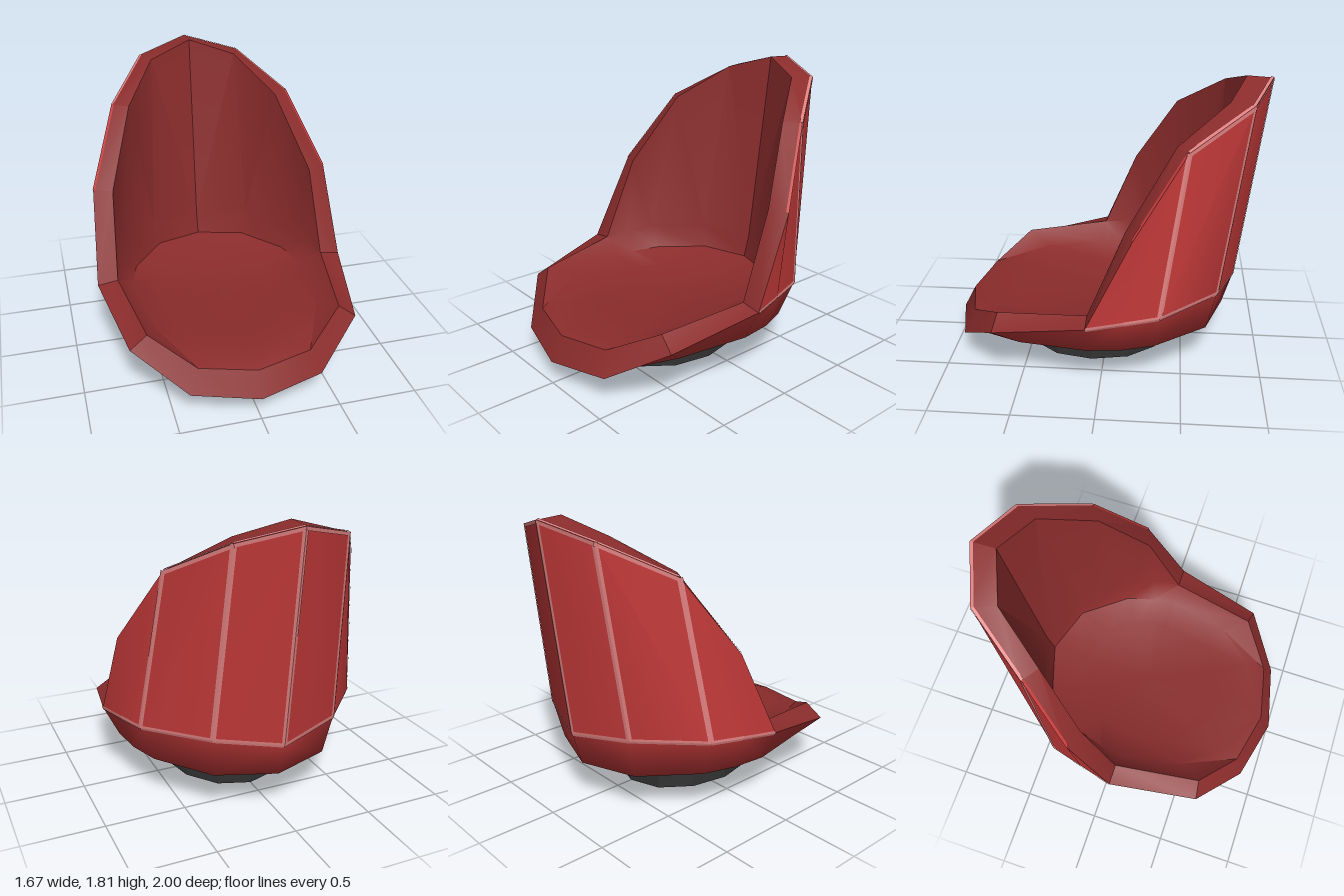
import * as THREE from 'three';
import { toCreasedNormals } from 'three/addons/utils/BufferGeometryUtils.js';

const shellRed = new THREE.MeshStandardMaterial({ color: 0xc53a3a });
const liningRed = new THREE.MeshStandardMaterial({ color: 0x8b2c2c });
const seamPink = new THREE.MeshStandardMaterial({ color: 0xde8080 });
const baseGrey = new THREE.MeshStandardMaterial({ color: 0x2f2f2f, side: THREE.DoubleSide });

// Half cross-sections, listed from the middle of the back round the left side to the front
const outerRim = [[0, 1.8, -1], [0.345, 1.715, -0.87], [0.6, 1.51, -0.5], [0.79, 1.05, -0.2],
  [0.83, 0.495, 0.07], [0.72, 0.38, 0.65], [0.41, 0.18, 0.9], [0, 0.147, 1]];
const innerRim = [[0, 1.81, -0.84], [0.29, 1.72, -0.73], [0.5, 1.51, -0.43], [0.67, 1.05, -0.15],
  [0.7, 0.515, 0.07], [0.61, 0.46, 0.63], [0.35, 0.322, 0.84], [0, 0.3, 0.92]];
const outerWaist = [[0, 0.48, -0.835], [0.4, 0.535, -0.71], [0.72, 0.525, -0.36], [0.775, 0.51, -0.15],
  ...outerRim.slice(4)];
const bowlSide = [[0, 0.26, -0.77], [0.37, 0.27, -0.65], [0.63, 0.28, -0.33], [0.7, 0.285, -0.14],
  [0.73, 0.29, 0.07], [0.62, 0.26, 0.5], [0.38, 0.172, 0.78], [0, 0.165, 0.85]];
const bowlBottom = [[0, 0.16, -0.4], [0.22, 0.16, -0.34], [0.37, 0.165, -0.16], [0.41, 0.165, -0.05],
  [0.42, 0.165, 0.07], [0.37, 0.165, 0.38], [0.22, 0.165, 0.52], [0, 0.165, 0.6]];
const innerWaist = [[0, 0.54, -0.68], [0.345, 0.57, -0.56], [0.59, 0.56, -0.27], [0.665, 0.53, -0.1],
  ...innerRim.slice(4)];
const seatEdge = [[0, 0.395, -0.64], [0.31, 0.4, -0.54], [0.53, 0.4, -0.26], [0.58, 0.4, -0.08],
  [0.6, 0.395, 0.07], [0.52, 0.38, 0.48], [0.32, 0.344, 0.74], [0, 0.34, 0.82]];
const seatFloor = bowlBottom.map(([x, , z]) => [x, 0.33, z]);
const point = (y) => outerRim.map(() => [0, y, 0.08]);

// Close a half section into a full ring
const ring = (half) => [...half, ...half.slice(1, -1).reverse().map(([x, y, z]) => [-x, y, z])];

// Skin a series of rings with mirrored diagonals, skipping collapsed faces.
// Without a crease angle the skin is fully smooth.
function loft(halves, crease) {
  const rows = halves.map(ring);
  const points = rows.flat();
  const n = rows[0].length;
  const index = [];
  const same = (a, b) => points[a].every((v, k) => v === points[b][k]);
  const tri = (a, b, c) => {
    if (!same(a, b) && !same(b, c) && !same(a, c)) index.push(a, b, c);
  };
  for (let r = 0; r < rows.length - 1; r++) {
    for (let i = 0; i < n; i++) {
      const a = r * n + i, b = r * n + (i + 1) % n;
      const c = b + n, d = a + n;
      if (i < n / 2) {
        tri(a, b, c);
        tri(a, c, d);
      } else {
        tri(a, b, d);
        tri(b, c, d);
      }
    }
  }
  const geo = new THREE.BufferGeometry();
  geo.setAttribute('position', new THREE.Float32BufferAttribute(points.flat(), 3));
  geo.setIndex(index);
  geo.computeVertexNormals();
  return crease ? toCreasedNormals(geo, crease) : geo;
}

// Flat ribbons, each lying just inside edge p-q of the triangle p, q, t, on both sides of the shell
function ribbons(edges) {
  const out = [];
  for (const side of [1, -1]) {
    for (const [p, q, t, width] of edges) {
      const [a, b, c] = (side > 0 ? [p, q, t] : [q, p, t])
        .map(([x, y, z]) => new THREE.Vector3(x * side, y, z));
      const along = b.clone().sub(a).normalize();
      const inward = c.sub(a);
      inward.addScaledVector(along, -inward.dot(along)).normalize();
      // Lift off the shell and reach slightly over the fold so neighbours meet
      const lift = along.clone().cross(inward).multiplyScalar(0.004).addScaledVector(inward, -0.0014);
      a.add(lift);
      b.add(lift);
      const a2 = a.clone().addScaledVector(inward, width);
      const b2 = b.clone().addScaledVector(inward, width);
      [a, b, b2, a, b2, a2].forEach((v) => out.push(v.x, v.y, v.z));
    }
  }
  const geo = new THREE.BufferGeometry();
  geo.setAttribute('position', new THREE.Float32BufferAttribute(out, 3));
  geo.computeVertexNormals();
  return geo;
}

// Edges of the back panels that carry a seam
function seamEdges() {
  const edges = [];
  for (let i = 0; i < 4; i++) {
    const [a, b, c, d] = [outerRim[i], outerRim[i + 1], outerWaist[i + 1], outerWaist[i]];
    edges.push([c, d, a, 0.016], [d, c, bowlSide[i + 1], 0.016]);
    if (i < 3) edges.push([d, a, c, 0.018]);
    if (i < 2) {
      edges.push([b, c, a, 0.018], [a, b, c, 0.022]);
      edges.push([b, a, innerRim[i], 0.02]);
    }
  }
  return edges;
}

// Open oval collar whose lower edge rises at the sides
function baseGeometry() {
  const geo = new THREE.CylinderGeometry(0.39, 0.41, 0.175, 12, 1, true);
  const pos = geo.attributes.position;
  for (let i = 0; i < pos.count; i++) {
    const x = pos.getX(i), low = pos.getY(i) < 0;
    pos.setY(i, low ? 0.022 * (x / 0.41) ** 2 : 0.175);
    pos.setZ(i, 0.075 + pos.getZ(i) * (low ? 1.134 : 1.17));
  }
  const flat = geo.toNonIndexed();
  flat.computeVertexNormals();
  return flat;
}

export function createModel() {
  const model = new THREE.Group();
  const add = (name, geo, material) => {
    const mesh = new THREE.Mesh(geo, material);
    mesh.name = name;
    model.add(mesh);
  };
  add('rim', loft([innerRim, outerRim], 0.45), liningRed);
  add('rimEdge', ribbons([[outerRim[3], outerRim[2], innerRim[2], 0.018]]), shellRed);
  add('outerBackPanels', loft([outerRim, outerWaist], 0.55), shellRed);
  add('outerBowl', loft([outerWaist, bowlSide, bowlBottom, point(0.165)]), shellRed);
  add('seatLining', loft([point(0.33), seatFloor, seatEdge, innerWaist, innerRim], 0.6), liningRed);
  add('seams', ribbons(seamEdges()), seamPink);
  add('baseCollar', baseGeometry(), baseGrey);
  return model;
}
